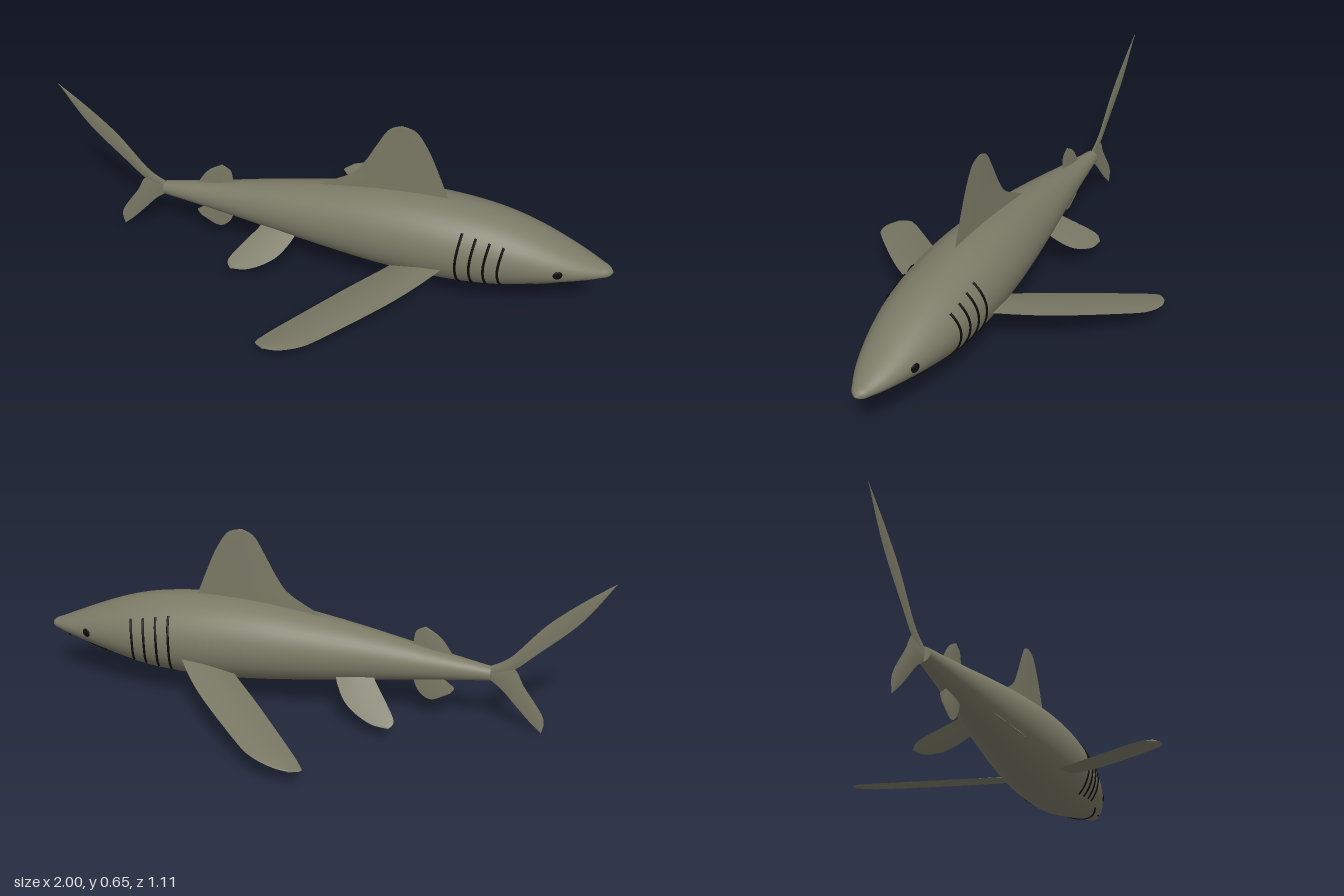
import * as THREE from 'three';

const skin = new THREE.MeshStandardMaterial({ color: 0x7b7a66, side: THREE.DoubleSide });
skin.name = 'olive grey skin';
const dark = new THREE.MeshStandardMaterial({ color: 0x0b0b0a });
dark.name = 'black detail';

// Body stations along x: top, bottom and half width
const STATIONS = [
  [-0.62, 0.238, 0.188, 0.024], [-0.4, 0.282, 0.166, 0.055], [-0.2, 0.325, 0.142, 0.086],
  [0, 0.361, 0.12, 0.116], [0.2, 0.389, 0.101, 0.14], [0.4, 0.396, 0.094, 0.15],
  [0.6, 0.375, 0.108, 0.141], [0.7, 0.349, 0.13, 0.126], [0.8, 0.312, 0.156, 0.102],
  [0.9, 0.269, 0.182, 0.068], [0.96, 0.243, 0.196, 0.038], [0.99, 0.23, 0.205, 0.018],
  [1, 0.217, 0.215, 0.001],
];
const profile = new THREE.CubicInterpolant(
  STATIONS.map((s) => s[0]), STATIONS.flatMap((s) => s.slice(1)), 3, new Float32Array(3));

// Centre height, half height and half width at x
function section(x) {
  const [top, bottom, w] = profile.evaluate(x);
  return { c: (top + bottom) / 2, h: (top - bottom) / 2, w };
}
const sideZ = (x, y) => {
  const { c, h, w } = section(x);
  return w * Math.sqrt(Math.max(0, 1 - ((y - c) / h) ** 2));
};
const undersideY = (x, z) => {
  const { c, h, w } = section(x);
  return c - h * Math.sqrt(Math.max(0, 1 - (z / w) ** 2));
};

function geometry(positions, index) {
  const g = new THREE.BufferGeometry();
  g.setAttribute('position', new THREE.Float32BufferAttribute(positions, 3));
  g.setIndex(index);
  g.computeVertexNormals();
  return g;
}

function add(parent, name, geo, material) {
  const mesh = new THREE.Mesh(geo, material);
  mesh.name = name;
  parent.add(mesh);
  return mesh;
}

// Elliptical rings lofted from tail stalk to snout
function bodyGeometry(rings = 72, sides = 40) {
  const pos = [], index = [];
  for (let i = 0; i <= rings; i++) {
    const x = -0.62 + 1.62 * Math.sin((i / rings) * Math.PI / 2);
    const { c, h, w } = section(x);
    for (let j = 0; j < sides; j++) {
      const a = (j / sides) * Math.PI * 2;
      pos.push(x, c + h * Math.sin(a), w * Math.cos(a));
      if (i === rings) continue;
      const p = i * sides + j, q = i * sides + (j + 1) % sides;
      index.push(p, p + sides, q, q, p + sides, q + sides);
    }
  }
  return geometry(pos, index);
}

// Lens-shaped fin between a leading and a trailing edge that meet at the tip;
// place(u, v, d) puts an outline point, offset d from the mid surface, in space
function finGeometry(lead, trail, thickness, place, rows = 28, cols = 10) {
  const curve = (pts) => new THREE.SplineCurve(pts.map((p) => new THREE.Vector2(...p)));
  const a = curve(lead), b = curve(trail);
  const pos = [], index = [];
  for (const side of [1, -1]) {
    const base = pos.length / 3;
    for (let i = 0; i <= rows; i++) {
      const s = i / rows, p = a.getPoint(s), q = b.getPoint(s);
      for (let j = 0; j <= cols; j++) {
        const t = j / cols, m = p.clone().lerp(q, t);
        const d = side * thickness / 2 * Math.sin(Math.PI * t) * (1 - 0.7 * s);
        pos.push(...place(m.x, m.y, d));
        if (i === rows || j === cols) continue;
        const k = base + i * (cols + 1) + j, n = k + cols + 1;
        if (side > 0) index.push(k, n, k + 1, k + 1, n, n + 1);
        else index.push(k, k + 1, n, k + 1, n + 1, n);
      }
    }
  }
  return geometry(pos, index);
}

// Fins on the centre plane, outlines in x and y
const CENTRE_FINS = {
  dorsalFin: [
    [[0.44, 0.36], [0.422, 0.405], [0.39, 0.485], [0.355, 0.565], [0.315, 0.63], [0.285, 0.648], [0.255, 0.653]],
    [[-0.06, 0.33], [-0.015, 0.365], [0.09, 0.43], [0.135, 0.49], [0.172, 0.56], [0.212, 0.63], [0.255, 0.653]]],
  rearDorsalFin: [
    [[-0.34, 0.26], [-0.35, 0.3], [-0.358, 0.342], [-0.39, 0.362]],
    [[-0.5, 0.24], [-0.475, 0.285], [-0.44, 0.33], [-0.39, 0.362]]],
  analFin: [
    [[-0.34, 0.2], [-0.353, 0.16], [-0.375, 0.11], [-0.42, 0.083], [-0.485, 0.115]],
    [[-0.46, 0.21], [-0.45, 0.182], [-0.475, 0.158], [-0.498, 0.138], [-0.485, 0.115]]],
  upperTailLobe: [
    [[-0.615, 0.24], [-0.685, 0.285], [-0.79, 0.412], [-0.9, 0.51], [-1, 0.585]],
    [[-0.615, 0.19], [-0.695, 0.235], [-0.765, 0.3], [-0.9, 0.435], [-1, 0.585]]],
  lowerTailLobe: [
    [[-0.615, 0.19], [-0.66, 0.155], [-0.71, 0.1], [-0.76, 0.045], [-0.805, 0.002]],
    [[-0.615, 0.24], [-0.695, 0.24], [-0.735, 0.175], [-0.807, 0.065], [-0.805, 0.002]]],
};

// Paired fins, outlines in x and z, with the height of the mid surface
const PAIRED_FINS = {
  pectoralFin: {
    lead: [[0.47, 0.09], [0.43, 0.165], [0.32, 0.31], [0.135, 0.492], [0.07, 0.538], [0, 0.553], [-0.055, 0.543]],
    trail: [[0.28, 0.09], [0.24, 0.135], [0.135, 0.245], [-0.025, 0.425], [-0.07, 0.48], [-0.088, 0.515], [-0.055, 0.543]],
    height: (x) => 0.2 + 0.27 * (x - 0.44),
    thickness: 0.022,
  },
  pelvicFin: {
    lead: [[-0.09, 0.04], [-0.1, 0.085], [-0.15, 0.143], [-0.235, 0.18], [-0.305, 0.186]],
    trail: [[-0.22, 0.04], [-0.23, 0.065], [-0.268, 0.105], [-0.318, 0.162], [-0.305, 0.186]],
    height: (x, z) => 0.05 + 0.95 * (0.19 - z) + 0.05 * (x + 0.3),
    thickness: 0.014,
  },
};

const line = (points, radius) => new THREE.TubeGeometry(
  new THREE.CatmullRomCurve3(points.map((p) => new THREE.Vector3(...p))), 24, radius, 6);

export function createModel() {
  const model = new THREE.Group();
  model.name = 'shark';

  add(model, 'body', bodyGeometry(), skin);
  const stalkEnd = add(model, 'tailStalkEnd', new THREE.CircleGeometry(1, 40), skin);
  stalkEnd.scale.set(0.024, 0.025, 1);
  stalkEnd.rotation.y = -Math.PI / 2;
  stalkEnd.position.set(-0.62, 0.213, 0);

  for (const [name, [lead, trail]] of Object.entries(CENTRE_FINS)) {
    add(model, name, finGeometry(lead, trail, 0.008, (x, y, d) => [x, y, d]), skin);
  }

  for (const side of [1, -1]) {
    const label = side > 0 ? 'Front' : 'Back';
    for (const [name, f] of Object.entries(PAIRED_FINS)) {
      const place = (x, z, d) => [x, f.height(x, z) - side * d, side * z];
      add(model, name + label, finGeometry(f.lead, f.trail, f.thickness, place), skin);
    }

    // Four bowed gill slits
    for (let i = 0; i < 4; i++) {
      const x0 = 0.5 + i * 0.047, top = 0.345 - i * 0.009, bottom = 0.138 + i * 0.007;
      const points = [];
      for (let k = 0; k <= 8; k++) {
        const t = k / 8, y = bottom + (top - bottom) * t;
        const x = x0 - 0.01 * Math.sin(Math.PI * t);
        points.push([x, y, side * sideZ(x, y)]);
      }
      add(model, `gillSlit${label}${i + 1}`, line(points, 0.0045), dark);
    }

    // Eye and nostril
    const eye = add(model, 'eye' + label, new THREE.SphereGeometry(0.016, 20, 14), dark);
    eye.position.set(0.825, 0.235, side * sideZ(0.825, 0.235));
    eye.rotation.y = side * 0.33;
    eye.scale.z = 0.3;
    const nostril = add(model, 'nostril' + label, new THREE.SphereGeometry(0.005, 10, 8), dark);
    nostril.position.set(0.915, 0.197, side * sideZ(0.915, 0.197));
  }

  // Mouth curving around the underside of the snout
  const mouth = [];
  for (let k = 0; k <= 12; k++) {
    const z = -0.085 + 0.17 * k / 12;
    const x = 0.75 + 0.125 * (1 - (z / 0.085) ** 2);
    mouth.push([x, undersideY(x, z), z]);
  }
  add(model, 'mouth', line(mouth, 0.004), dark);
  return model;
}
